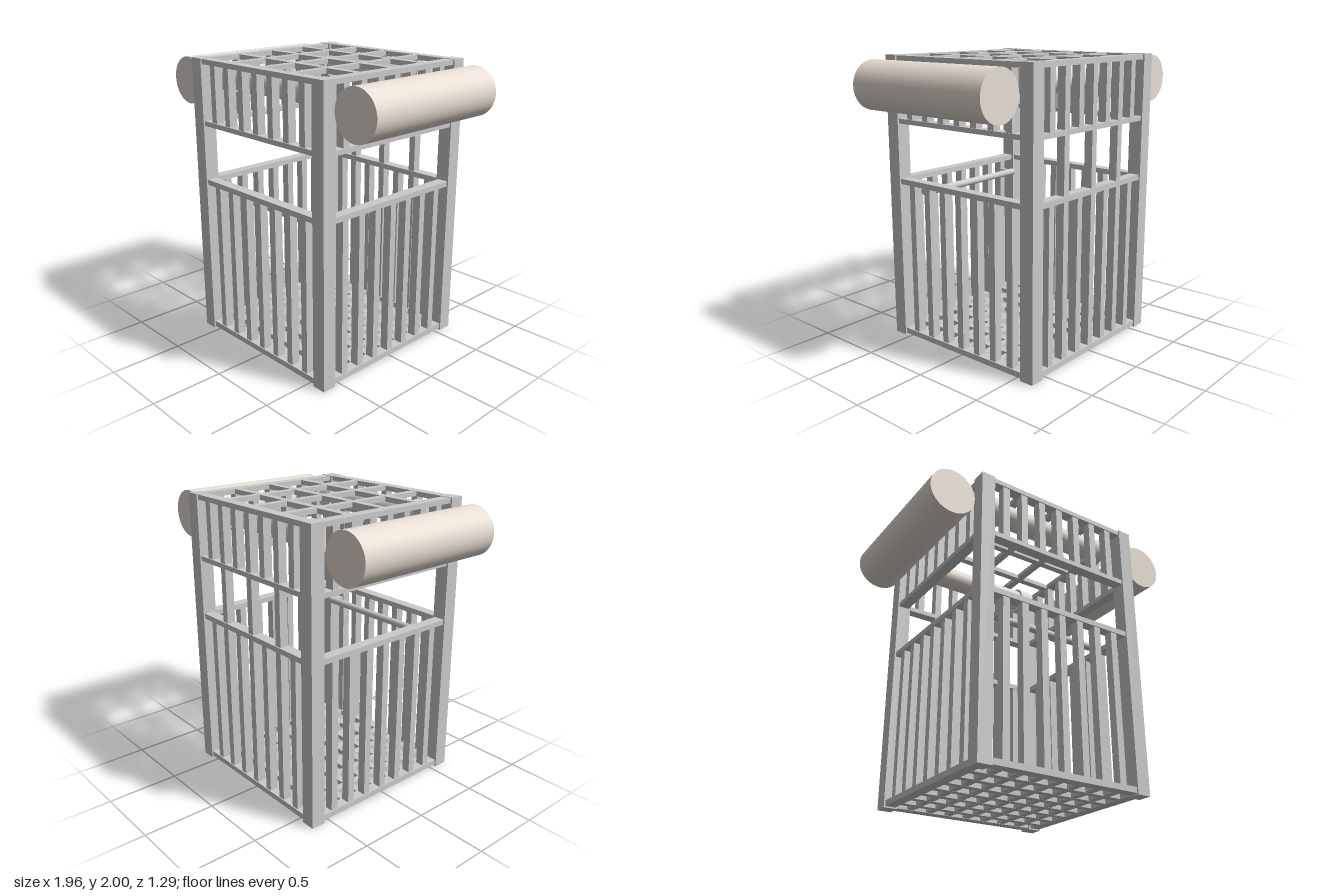
import * as THREE from 'three';

const grey = new THREE.MeshStandardMaterial({ color: 0xcccccc });
const beige = new THREE.MeshStandardMaterial({ color: 0xe8dfd5 });

const POST = 0.595;   // centre of the corner posts
const WALL = 0.597;   // centre plane of the barred walls
const SPAN = 1.1;     // clear span between posts
const BAR = 0.05;
const seven = [-3, -2, -1, 0, 1, 2, 3].map((i) => i * 0.147);
const three = [-2, 0, 2].map((i) => i * 0.147);

function box(parent, name, w, h, d, x, y, z) {
  const mesh = new THREE.Mesh(new THREE.BoxGeometry(w, h, d), grey);
  mesh.name = name;
  mesh.position.set(x, y, z);
  parent.add(mesh);
}

function cylinder(parent, name, r, length, axis, x, y, z, material) {
  const geometry = new THREE.CylinderGeometry(r, r, length, 40);
  if (axis === 'x') geometry.rotateZ(Math.PI / 2);
  else geometry.rotateX(Math.PI / 2);
  const mesh = new THREE.Mesh(geometry, material);
  mesh.name = name;
  mesh.position.set(x, y, z);
  parent.add(mesh);
}

// One barred wall facing +z, turned about y into its place
function wall(name, angle, gapBars) {
  const g = new THREE.Group();
  g.name = name;
  for (const [lo, hi] of [[0.01, 0.05], [1.12, 1.157], [1.542, 1.575], [1.963, 1.997]]) {
    box(g, 'rail', SPAN, hi - lo, 0.075, 0, (lo + hi) / 2, WALL);
  }
  const bars = (xs, lo, hi) => {
    for (const x of xs) box(g, 'bar', BAR, hi - lo, 0.06, x, (lo + hi) / 2, WALL);
  };
  bars(seven, 0.04, 1.13);
  bars(seven, 1.56, 1.97);
  if (gapBars) bars(three, 1.14, 1.55);
  g.rotation.y = angle;
  return g;
}

// Horizontal grid of crossing bars
function grid(name, offsets, y, h) {
  const g = new THREE.Group();
  g.name = name;
  for (const o of offsets) {
    box(g, 'crossBar', 1.14, h, BAR, 0, y, o - 0.008);
    box(g, 'lengthBar', BAR, h - 0.002, 1.14, o, y, 0);
  }
  return g;
}

export function createModel() {
  const model = new THREE.Group();
  model.name = 'cage';

  // Corner posts
  for (const x of [-1, 1]) {
    for (const z of [-1, 1]) box(model, 'cornerPost', 0.1, 2, 0.1, x * POST, 1, z * POST);
  }

  // Walls, floor and roof
  model.add(
    wall('frontWall', 0, false),
    wall('backWall', Math.PI, true),
    wall('leftWall', Math.PI / 2, false),
    wall('rightWall', -Math.PI / 2, false),
    grid('floorGrid', seven, 0.03, 0.036),
    grid('roofGrid', three, 1.98, 0.034),
  );

  // Large outer drums along both sides
  for (const s of [-1, 1]) {
    cylinder(model, 'sideDrum', 0.165, 1.11, 'z', s * 0.817, 1.815, 0.01, beige);
  }

  // Capped rollers hung under the roof
  for (const s of [-1, 1]) {
    const roller = new THREE.Group();
    roller.name = s > 0 ? 'frontRoller' : 'backRoller';
    cylinder(roller, 'rollerBody', 0.08, 0.9, 'x', 0, 0, 0, beige);
    for (const e of [-1, 1]) cylinder(roller, 'rollerCap', 0.098, 0.11, 'x', e * 0.44, 0, 0, beige);
    roller.position.set(-0.02, 1.87, s * 0.459);
    model.add(roller);
  }

  // Handrail inside the front wall
  cylinder(model, 'handrail', 0.025, 0.945, 'x', 0, 1.04, 0.487, grey);
  for (const s of [-1, 1]) box(model, 'handrailBracket', 0.035, 0.035, 0.09, s * 0.441, 1.04, 0.53);

  return model;
}
